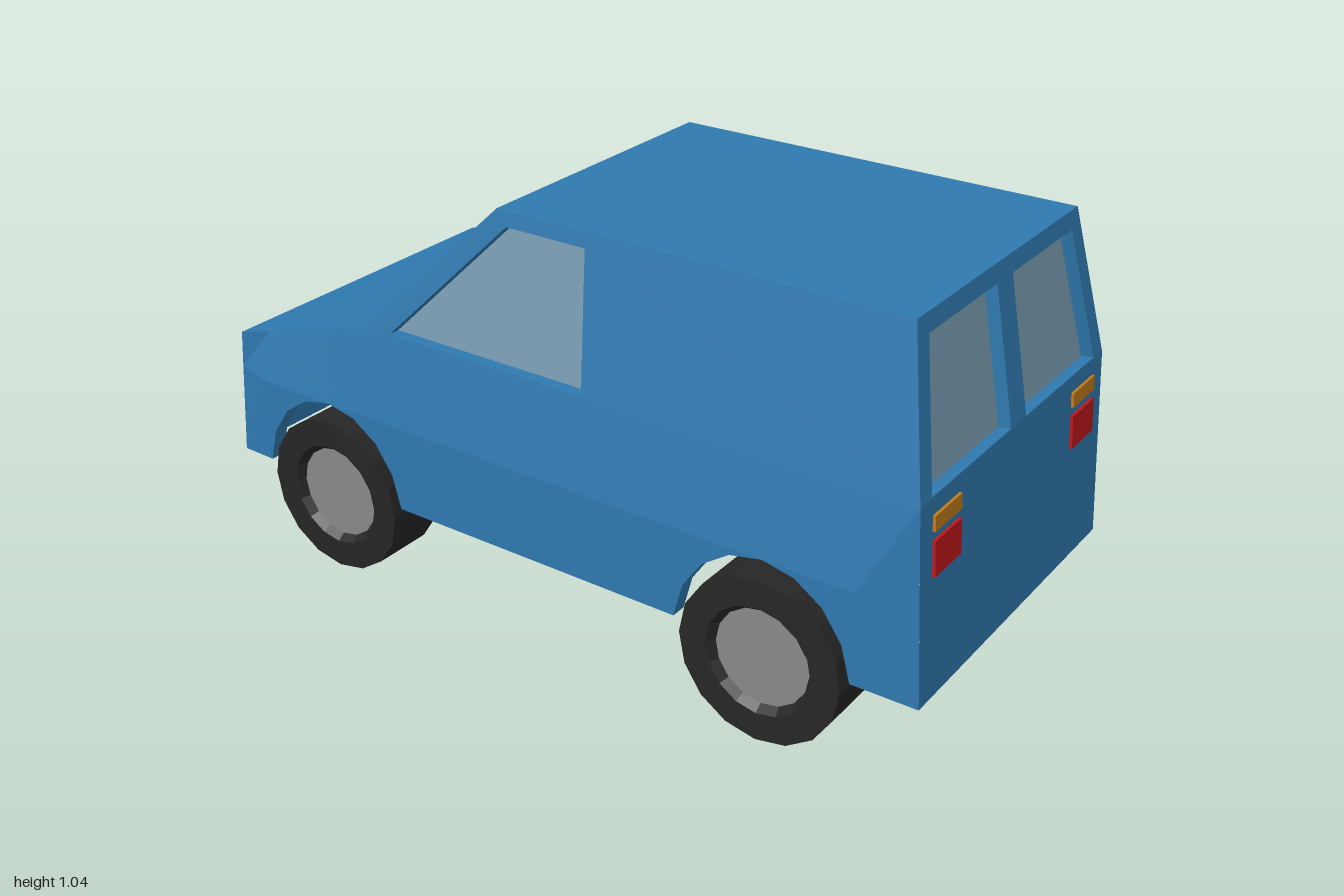
import * as THREE from 'three';

const mat = (color) => new THREE.MeshStandardMaterial({ color, flatShading: true, side: THREE.DoubleSide });
const paint = mat(0x2f79af), glass = mat(0x7799ae), rubber = mat(0x262626), metal = mat(0x888888);
const grey = mat(0x707070), lens = mat(0x93917f), orange = mat(0xc07a1a), red = mat(0xc0181d);

// Heights: sill, waistline and roof; half widths at waist and roof
const SILL = 0.235, WAIST = 0.68, ROOF = 1.045, WAIST_X = 0.45, ROOF_X = 0.38;
const rise = (y) => (y - WAIST) / (ROOF - WAIST);
const WHEEL_Z = 0.63, WHEEL_R = 0.205;

function add(parent, name, geometry, material) {
  const mesh = new THREE.Mesh(geometry, material);
  mesh.name = name;
  parent.add(mesh);
  return mesh;
}

// Surface through rows of points
function loft(rows) {
  const pos = [];
  for (let i = 0; i + 1 < rows.length; i++) {
    for (let j = 0; j + 1 < rows[i].length; j++) {
      const a = rows[i][j], b = rows[i + 1][j], c = rows[i + 1][j + 1], d = rows[i][j + 1];
      pos.push(...a, ...b, ...c, ...a, ...c, ...d);
    }
  }
  const g = new THREE.BufferGeometry();
  g.setAttribute('position', new THREE.Float32BufferAttribute(pos, 3));
  g.computeVertexNormals();
  return g;
}

// Flat outline with holes, placed in space by a mapping rule
function sheet(outline, holes, map) {
  const toV = (pts) => pts.map(([u, v]) => new THREE.Vector2(u, v));
  const shape = new THREE.Shape(toV(outline));
  shape.holes = holes.map((h) => new THREE.Path(toV(h)));
  const g = new THREE.ShapeGeometry(shape);
  const p = g.attributes.position;
  for (let i = 0; i < p.count; i++) p.setXYZ(i, ...map(p.getX(i), p.getY(i)));
  g.computeVertexNormals();
  return g;
}

// Body panel with recessed windows
function windowPanel(parent, name, outline, windows, map, inset) {
  add(parent, name + 'Panel', sheet(outline, windows, map), paint);
  const inner = (u, v) => map(u, v).map((c, i) => c + inset[i]);
  for (const w of windows) {
    const loop = [...w, w[0]];
    add(parent, name + 'Reveal', loft([loop.map((p) => map(...p)), loop.map((p) => inner(...p))]), paint);
    add(parent, name + 'Glass', sheet(w, [], inner), glass);
  }
}

function archPoints(centre) {
  const pts = [];
  for (let i = 0; i <= 8; i++) {
    const t = THREE.MathUtils.degToRad(6 + 21 * i);
    pts.push([centre + 0.225 * Math.cos(t), 0.21 + 0.25 * Math.sin(t)]);
  }
  return pts;
}

// Lower flank: bulges out between the ends, cut by two wheel arches
function addFlank(body, s) {
  const bulge = s > 0 ? 0.465 : 0.485;
  const arches = [archPoints(WHEEL_Z), archPoints(-WHEEL_Z)];
  const edge = [...arches[0], ...arches[1], [-0.52, 0.428]].sort((a, b) => b[0] - a[0]);
  const columns = edge.map(([z, y]) => {
    const top = z > -0.52 ? WAIST : WAIST + (z + 0.52) * (0.125 / 0.44);
    return [[s * WAIST_X, top, z], [s * bulge, Math.max(0.46, y), z], [s * bulge, y, z]];
  });
  const x = s * WAIST_X;
  columns.unshift([[x, WAIST, 0.97], [x, 0.46, 0.984], [x, 0.21, 1.0]]);
  columns.push([[x, 0.555, -0.96], [x, 0.46, -0.968], [x, 0.21, -0.99]]);
  add(body, 'lowerSide', loft(columns), paint);
  for (const arch of arches) {
    const rim = (dx) => arch.map(([z, y]) => [s * (bulge - dx), y, z]);
    add(body, 'archLip', loft([rim(0), rim(0.04)]), paint);
  }
}

function makeWheel() {
  const wheel = new THREE.Group();
  const v = (pts) => pts.map(([r, h]) => new THREE.Vector2(r, h));
  // Tread and inner wall stay open at the bottom quarter
  const tread = new THREE.LatheGeometry(v([[0, -0.08], [WHEEL_R, -0.08], [WHEEL_R, 0.08]]),
    12, Math.PI * 0.75, Math.PI * 1.5);
  const wall = new THREE.LatheGeometry(v([[WHEEL_R, 0.08], [0.135, 0.08], [0.12, 0.06]]), 16);
  const hub = new THREE.CircleGeometry(0.122, 16).rotateX(-Math.PI / 2).translate(0, 0.06, 0);
  [[tread, 'tyreTread', rubber], [wall, 'tyreWall', rubber], [hub, 'hub', metal]].forEach(([g, n, m]) =>
    add(wheel, n, g.rotateZ(-Math.PI / 2), m));
  return wheel;
}

export function createModel() {
  const model = new THREE.Group();
  model.name = 'van';
  const body = new THREE.Group();
  body.name = 'body';
  model.add(body);

  // Roof, bonnet, nose and lower tail
  const strip = (name, x0, y0, z0, x1, y1, z1) =>
    add(body, name, loft([[[-x0, y0, z0], [x0, y0, z0]], [[-x1, y1, z1], [x1, y1, z1]]]), paint);
  strip('roof', ROOF_X, ROOF, 0.9, ROOF_X, ROOF, -0.15);
  strip('bonnet', WAIST_X, WAIST, -0.52, WAIST_X, 0.555, -0.96);
  strip('nose', WAIST_X, 0.555, -0.96, WAIST_X, 0.21, -0.99);
  strip('tail', WAIST_X, WAIST, 0.97, WAIST_X, 0.21, 1.0);

  // Upper ends with rear windows and windscreen
  const end = [[-WAIST_X, WAIST], [WAIST_X, WAIST], [ROOF_X, ROOF], [-ROOF_X, ROOF]];
  const rearWindow = (s) => [[s * 0.037, 0.683], [s * 0.4, 0.683], [s * 0.34, 1.003], [s * 0.037, 1.003]];
  windowPanel(body, 'rearWindow', end, [rearWindow(1), rearWindow(-1)],
    (x, y) => [x, y, 0.97 - 0.07 * rise(y)], [0, -0.005, -0.03]);
  windowPanel(body, 'windscreen', end, [[[-0.405, 0.715], [0.405, 0.715], [0.34, 1.015], [-0.34, 1.015]]],
    (x, y) => [x, y, -0.52 + 0.37 * rise(y)], [0, -0.02, 0.02]);

  // Sides and wheels
  for (const s of [1, -1]) {
    windowPanel(body, 'sideWindow', [[0.97, WAIST], [0.9, ROOF], [-0.15, ROOF], [-0.52, WAIST]],
      [[[0.13, 0.685], [0.1, 1.008], [-0.12, 1.008], [-0.44, 0.685]]],
      (z, y) => [s * (WAIST_X + (ROOF_X - WAIST_X) * rise(y)), y, z], [-s * 0.03, 0, 0]);
    addFlank(body, s);
    for (const z of [WHEEL_Z, -WHEEL_Z]) {
      const wheel = makeWheel();
      wheel.name = z > 0 ? 'rearWheel' : 'frontWheel';
      wheel.position.set(s * 0.41, WHEEL_R, z);
      if (s < 0) wheel.rotation.y = Math.PI;
      model.add(wheel);
    }
  }

  // Lamps and grille lie on the sloped tail and nose
  const onTail = (mesh, x, y) => {
    mesh.position.set(x, y, 0.97 + 0.03 * (WAIST - y) / 0.47);
    mesh.rotation.x = -0.064;
  };
  const onNose = (mesh, x, y) => {
    mesh.position.set(x, y, -0.96 - 0.03 * (0.555 - y) / 0.345);
    mesh.rotation.x = 0.087;
  };
  const disc = (r, n) => new THREE.CylinderGeometry(r, r, 0.016, n).rotateX(Math.PI / 2);
  for (const s of [1, -1]) {
    onTail(add(model, 'tailLamp', new THREE.BoxGeometry(0.117, 0.083, 0.014), red), s * 0.338, 0.542);
    onTail(add(model, 'rearIndicator', new THREE.BoxGeometry(0.117, 0.036, 0.014), orange), s * 0.338, 0.623);
    onNose(add(model, 'headlamp', disc(0.06, 10), lens), s * 0.3, 0.44);
    onNose(add(model, 'frontIndicator', disc(0.02, 8), orange), s * 0.39, 0.48);
  }
  onNose(add(model, 'grille', new THREE.BoxGeometry(0.37, 0.19, 0.024), grey), 0, 0.41);

  return model;
}
